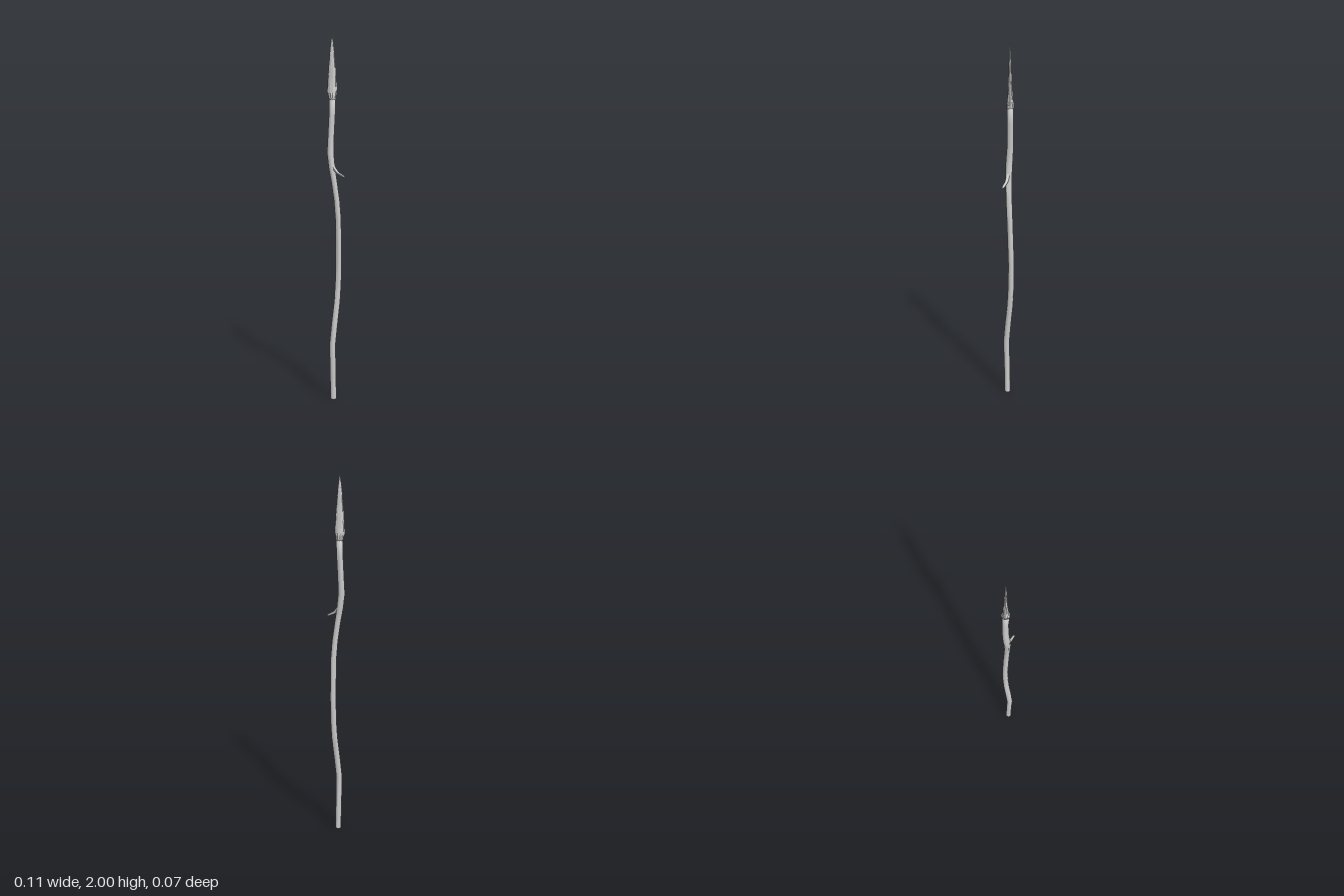
import * as THREE from 'three';
import { toCreasedNormals } from 'three/addons/utils/BufferGeometryUtils.js';

// Skin of stacked level rings; each row is [x, y, z, radiusX, radiusZ]
function loft(rows, sides, wobble = () => 1) {
  const pos = [], index = [];
  rows.forEach(([x, y, z, rx, rz = rx], r) => {
    for (let s = 0; s < sides; s++) {
      const a = (s / sides) * Math.PI * 2, k = wobble(r, s);
      pos.push(x + Math.cos(a) * rx * k, y, z + Math.sin(a) * rz * k);
    }
  });
  for (let r = 0; r < rows.length - 1; r++) {
    for (let s = 0; s < sides; s++) {
      const a = r * sides + s, b = r * sides + ((s + 1) % sides);
      index.push(a, a + sides, b, b, a + sides, b + sides);
    }
  }
  const g = new THREE.BufferGeometry();
  g.setAttribute('position', new THREE.Float32BufferAttribute(pos, 3));
  g.setIndex(index);
  g.computeVertexNormals();
  return g;
}

// Tube along a curve whose radius shrinks from r0 to r1, with a rounded tip
function taperedTube(points, r0, r1, segments, sides) {
  const curve = new THREE.CatmullRomCurve3(points.map(p => new THREE.Vector3(...p)));
  const g = new THREE.TubeGeometry(curve, segments, 1, sides);
  const p = g.attributes.position, v = new THREE.Vector3();
  for (let i = 0; i < p.count; i++) {
    const t = Math.floor(i / (sides + 1)) / segments;
    const c = curve.getPointAt(t);
    const tip = Math.sqrt(Math.min(1, (1 - t) / 0.1));
    v.fromBufferAttribute(p, i).sub(c).multiplyScalar((r0 + (r1 - r0) * Math.sqrt(t)) * tip).add(c);
    p.setXYZ(i, v.x, v.y, v.z);
  }
  g.computeVertexNormals();
  return g;
}

export function createModel() {
  const group = new THREE.Group();
  const material = new THREE.MeshStandardMaterial({ color: 0xcccccc });
  const stone = new THREE.MeshStandardMaterial({ color: 0xcccccc, flatShading: true });
  const add = (name, geometry, mat = material) => {
    const mesh = new THREE.Mesh(geometry, mat);
    mesh.name = name;
    group.add(mesh);
  };

  // Crooked wooden shaft, closed at both ends
  const shaft = [
    [-0.018, 0, 0.006, 0.0001], [-0.018, 0, 0.006, 0.017],
    [-0.021, 0.17, 0.009, 0.017], [-0.022, 0.32, 0.013, 0.0175],
    [-0.012, 0.44, 0.003, 0.0175], [-0.001, 0.56, -0.009, 0.017],
    [0.004, 0.66, -0.014, 0.017], [0.006, 0.8, -0.016, 0.0165],
    [0.005, 1.02, -0.009, 0.0165], [-0.002, 1.12, -0.005, 0.0165],
    [-0.015, 1.22, -0.001, 0.0165], [-0.028, 1.3, 0, 0.018],
    [-0.037, 1.38, -0.003, 0.019], [-0.035, 1.46, -0.008, 0.0175],
    [-0.029, 1.58, -0.009, 0.0175], [-0.026, 1.67, -0.008, 0.018],
    [-0.026, 1.69, -0.008, 0.0001],
  ];
  add('shaft', toCreasedNormals(loft(shaft, 12), 0.9));

  // Short side twig, bending down and outward
  add('twig', taperedTube([
    [-0.032, 1.33, 0], [-0.016, 1.3, 0.004], [0.004, 1.275, 0.011],
    [0.028, 1.262, 0.021], [0.052, 1.25, 0.031],
  ], 0.015, 0.006, 20, 8));

  // Binding between shaft and point
  add('binding', loft([
    [-0.026, 1.66, -0.008, 0.017], [-0.027, 1.67, -0.008, 0.021],
    [-0.027, 1.69, -0.008, 0.021], [-0.027, 1.705, -0.008, 0.015],
  ], 10), stone);

  // Flat chipped stone point
  const chips = (r, s) => 1 + 0.05 * Math.sin(r * 2.7 + s * 4.1);
  add('spearhead', loft([
    [-0.027, 1.675, -0.008, 0.0001], [-0.027, 1.68, -0.008, 0.022, 0.015],
    [-0.028, 1.7, -0.008, 0.028, 0.017], [-0.028, 1.725, -0.008, 0.027, 0.015],
    [-0.028, 1.77, -0.008, 0.024, 0.012], [-0.028, 1.82, -0.007, 0.02, 0.0095],
    [-0.028, 1.87, -0.007, 0.016, 0.008], [-0.028, 1.92, -0.007, 0.0115, 0.006],
    [-0.028, 1.97, -0.006, 0.0055, 0.0035], [-0.027, 2, -0.006, 0.0001],
  ], 10, chips), stone);

  return group;
}
